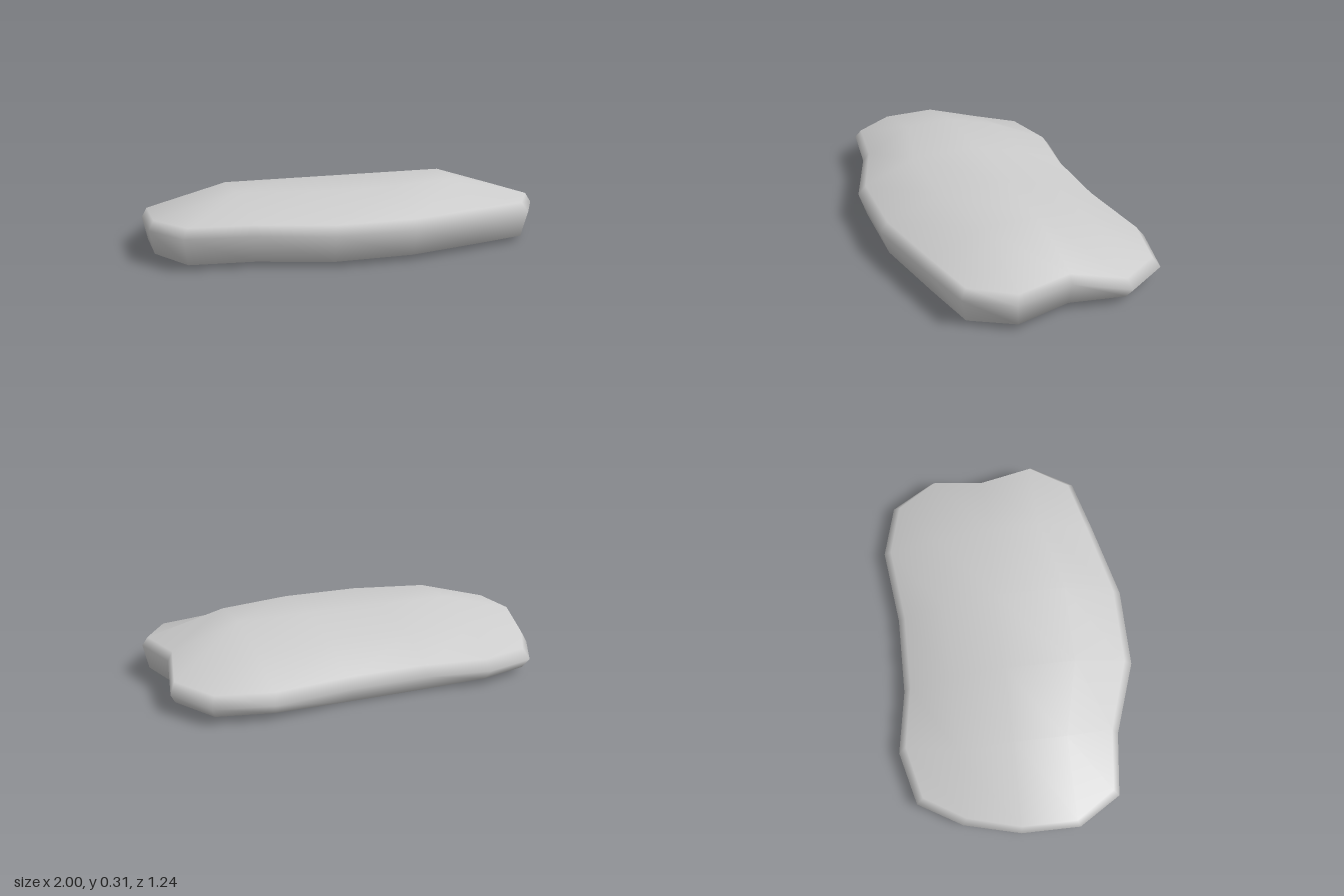
import * as THREE from 'three';

// Plan outline: rows run back to front, columns from -x to +x; inner points shape the top and base
const PLAN = [
  [[-0.79, -0.55], [-0.52, -0.62], [-0.2, -0.57], [0.2, -0.57], [0.6, -0.62], [0.87, -0.55]],
  [[-0.92, -0.33], [-0.58, -0.32], [-0.2, -0.32], [0.2, -0.32], [0.58, -0.32], [1, -0.33]],
  [[-1, -0.05], [-0.58, -0.04], [-0.2, -0.04], [0.2, -0.04], [0.58, -0.04], [0.94, -0.05]],
  [[-1, 0.24], [-0.58, 0.22], [-0.2, 0.31], [0.2, 0.31], [0.58, 0.22], [1, 0.24]],
  [[-0.87, 0.45], [-0.56, 0.49], [-0.2, 0.615], [0.2, 0.615], [0.6, 0.52], [0.87, 0.45]],
];
const ROWS = 5, COLS = 6;

// Heights per row: crown, top rim, widest line, bottom rim
const CROWN = [0, 0.225, 0.305, 0.305, 0];
const RIM = [0.13, 0.145, 0.2, 0.2, 0.2];
const WAIST = [0.08, 0.09, 0.155, 0.155, 0.155];
const FOOT = [0.03, 0.045, 0.04, 0.038, 0.026];

function createStoneGeometry() {
  const positions = [], index = [];
  const add = (x, y, z) => positions.push(x, y, z) / 3 - 1;
  const isEdge = (j, i) => j === 0 || j === ROWS - 1 || i === 0 || i === COLS - 1;
  const grid = (height) => PLAN.map((row, j) => row.map(([x, z], i) => {
    const edge = isEdge(j, i);
    return add(x * (edge ? 0.975 : 1), height(j, i, edge), z * (edge ? 0.935 : 1));
  }));

  const top = grid((j, i, edge) => (edge ? RIM[j] : CROWN[j]));
  const base = grid((j, i, edge) => {
    if (!edge) return 0;
    return j === 0 && (i === 2 || i === 3) ? 0.006 : FOOT[j];
  });

  // Top and base surfaces
  for (let j = 0; j < ROWS - 1; j++) {
    for (let i = 0; i < COLS - 1; i++) {
      const quad = (g) => [g[j][i], g[j + 1][i], g[j + 1][i + 1], g[j][i + 1]];
      const [a, b, c, d] = quad(top);
      index.push(a, b, d, b, c, d);
      const [e, f, g, h] = quad(base);
      index.push(e, h, f, f, h, g);
    }
  }

  // Boundary loop around the plan
  const loop = [];
  for (let i = 0; i < COLS; i++) loop.push([0, i]);
  for (let j = 1; j < ROWS; j++) loop.push([j, COLS - 1]);
  for (let i = COLS - 2; i >= 0; i--) loop.push([ROWS - 1, i]);
  for (let j = ROWS - 2; j > 0; j--) loop.push([j, 0]);

  // Bevelled side wall through the widest line
  const rings = [
    loop.map(([j, i]) => top[j][i]),
    loop.map(([j, i]) => add(PLAN[j][i][0], WAIST[j], PLAN[j][i][1])),
    loop.map(([j, i]) => base[j][i]),
  ];
  for (let r = 0; r < 2; r++) {
    loop.forEach((_, k) => {
      const n = (k + 1) % loop.length;
      const u = rings[r], l = rings[r + 1];
      index.push(u[k], u[n], l[k], u[n], l[n], l[k]);
    });
  }

  const geometry = new THREE.BufferGeometry();
  geometry.setAttribute('position', new THREE.Float32BufferAttribute(positions, 3));
  geometry.setIndex(index);
  geometry.computeVertexNormals();
  return geometry;
}

export function createModel() {
  const group = new THREE.Group();
  group.name = 'flatStone';
  const stone = new THREE.Mesh(
    createStoneGeometry(),
    new THREE.MeshStandardMaterial({ color: 0xcccccc }),
  );
  stone.name = 'stoneSlab';
  group.add(stone);
  return group;
}
